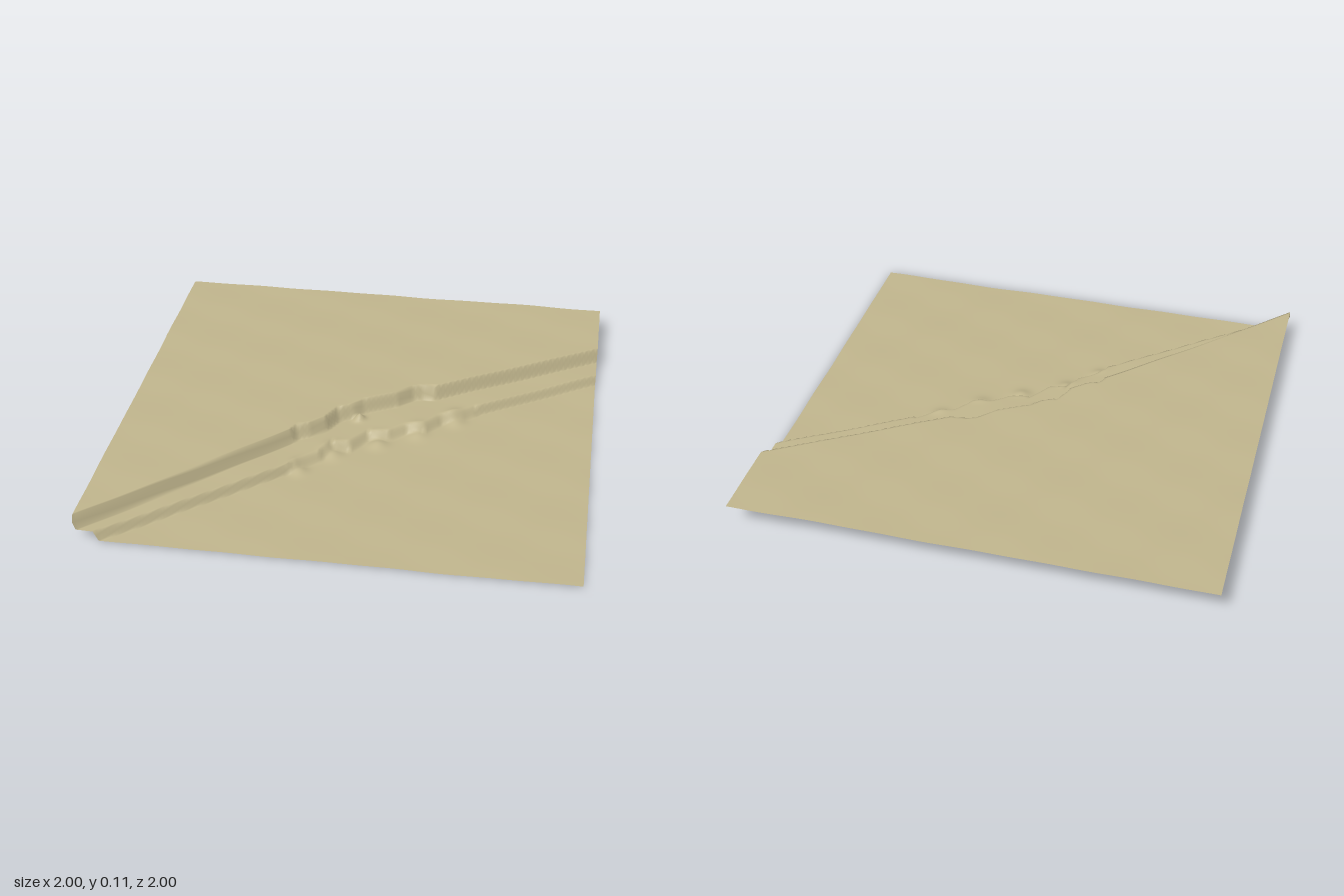
import * as THREE from 'three';

// Cliff lines across the ground, as [x, z] points
const upperCliff = [[-1, 1], [-0.27, 0.26], [-0.25, 0.225], [-0.2, 0.2], [-0.14, 0.145], [-0.1, 0.06],
  [-0.04, 0.025], [0, -0.02], [0.07, -0.06], [0.14, -0.1], [0.2, -0.165], [0.24, -0.18], [0.3, -0.185], [1, -0.625]];
const lowerCliff = [[-0.91, 1], [-0.25, 0.43], [-0.21, 0.38], [-0.14, 0.32], [-0.1, 0.24], [-0.02, 0.22],
  [0.04, 0.13], [0.13, 0.11], [0.2, 0.05], [0.28, 0.03], [0.34, -0.05], [0.43, -0.1], [0.48, -0.145], [1, -0.485]];

// Fallen rubble at the foot of the cliffs: [x, z, radius, height]
const rubble = [[-0.21, 0.41, 0.035, 0.016], [-0.09, 0.27, 0.04, 0.018], [0.09, 0.16, 0.04, 0.018],
  [0.25, 0.06, 0.04, 0.014], [0.4, -0.07, 0.04, 0.018], [-0.01, 0.035, 0.02, 0.03]];

// Height falls from 1 to 0 on crossing a cliff line towards the front
function aboveCliff(line, x, z, midWidth) {
  let i = 0;
  while (i < line.length - 2 && x > line[i + 1][0]) i++;
  const [x0, z0] = line[i], [x1, z1] = line[i + 1];
  const slope = (z1 - z0) / (x1 - x0);
  const distance = (z - z0 - slope * (x - x0)) / Math.hypot(1, slope);
  const width = i === 0 || i === line.length - 2 ? 0.014 : midWidth;
  return 1 - THREE.MathUtils.smoothstep(distance, -width / 2, width / 2);
}

function groundHeight(x, z) {
  let y = 0.007 + 0.042 * aboveCliff(lowerCliff, x, z, 0.04) + 0.064 * aboveCliff(upperCliff, x, z, 0.024);
  // Gentle undulation
  y += 0.0014 * Math.sin(9 * x + 5 * z + 1) + 0.0012 * Math.sin(7 * x - 17 * z) + 0.0009 * Math.sin(19 * x + 13 * z + 2);
  for (const [cx, cz, r, h] of rubble) y += h * Math.exp(-((x - cx) ** 2 + (z - cz) ** 2) / (r * r));
  return Math.min(Math.max(y, 0), 0.117);
}

export function createModel() {
  const group = new THREE.Group();
  group.name = 'terracedGround';
  const sand = new THREE.MeshStandardMaterial({ color: 0xbfb48c, side: THREE.DoubleSide });
  sand.name = 'sand';

  // Fine grid raised by the height rule
  const geometry = new THREE.PlaneGeometry(2, 2, 200, 200).rotateX(-Math.PI / 2);
  const p = geometry.attributes.position;
  for (let i = 0; i < p.count; i++) p.setY(i, groundHeight(p.getX(i), p.getZ(i)));
  geometry.computeVertexNormals();

  const ground = new THREE.Mesh(geometry, sand);
  ground.name = 'ground';
  group.add(ground);
  return group;
}
